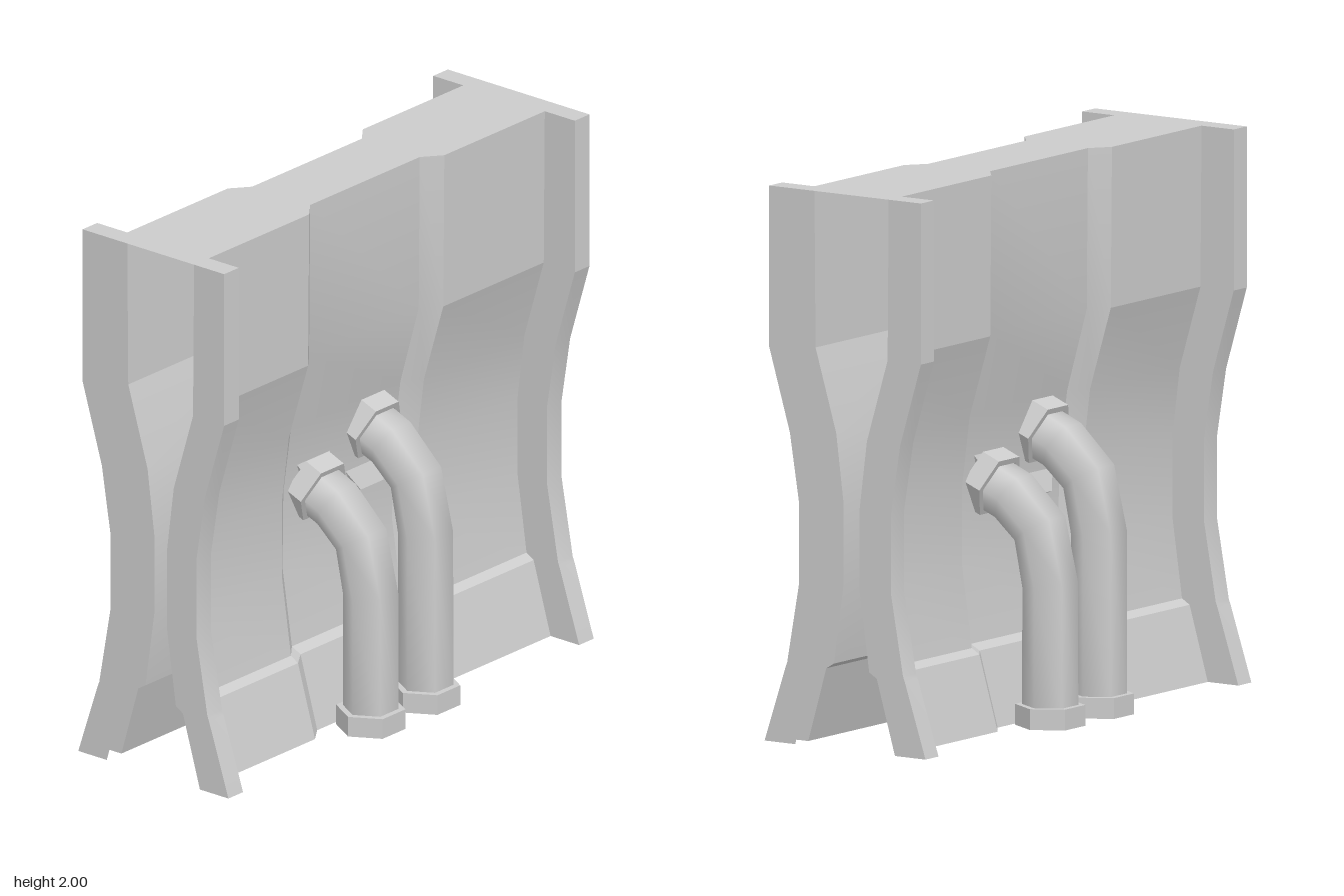
import * as THREE from 'three';
import { toCreasedNormals } from 'three/addons/utils/BufferGeometryUtils.js';

const smooth = new THREE.MeshStandardMaterial({ color: 0xcccccc, side: THREE.DoubleSide });
const flat = new THREE.MeshStandardMaterial({ color: 0xcccccc, side: THREE.DoubleSide, flatShading: true });

// wall profile, top to bottom: y, end flange z, panel z, recessed centre z
const PROFILE = [
  [2, 0.33, 0.19, 0.135],
  [1.42, 0.33, 0.185, 0.13],
  [1.12, 0.24, 0.095, 0.045],
  [0.87, 0.2, 0.063, 0.01],
  [0.58, 0.2, 0.063, 0.006],
  [0.29, 0.252, 0.105, 0.05],
  [0.27, 0.26, 0.138, 0.09],
  [0, 0.35, 0.217, 0.168],
];

// one horizontal section of the wall from -x to +x, as [x, z]
function section([, flange, panel, centre]) {
  const half = [[1, panel], [1, flange], [0.92, flange], [0.92, panel], [0.37, panel], [0.3, centre]];
  return [...half.map(([x, z]) => [-x, z]), ...half.reverse()];
}

function mesh(name, geometry, material) {
  const m = new THREE.Mesh(geometry, material);
  m.name = name;
  return m;
}

// joins equal rows of points with quads
function loft(rows, closed) {
  const n = rows[0].length;
  const index = [];
  for (let j = 0; j < rows.length - 1; j++) {
    for (let i = 0; i < (closed ? n : n - 1); i++) {
      const k = (i + 1) % n;
      const a = j * n + i, b = (j + 1) * n + i, c = (j + 1) * n + k, d = j * n + k;
      index.push(a, b, c, a, c, d);
    }
  }
  const g = new THREE.BufferGeometry();
  g.setAttribute('position', new THREE.Float32BufferAttribute(rows.flat(2), 3));
  g.setIndex(index);
  g.computeVertexNormals();
  return g;
}

function wallPanel() {
  const rows = PROFILE.map((p) => section(p).map(([x, z]) => [x, p[0], z]));
  return mesh('wallPanel', toCreasedNormals(loft(rows, false), 0.27), smooth);
}

// hexagonal collar, open at its lower end
function collar(name) {
  const pts = [[0, 0.035], [0.1, 0.035], [0.1, 0], [0.125, 0], [0.125, 0.075], [0, 0.075]];
  const g = new THREE.LatheGeometry(pts.map(([r, y]) => new THREE.Vector2(r, y)), 6, Math.PI / 2);
  return mesh(name, g, flat);
}

// six-sided pipe rising from the ground and bending into the wall
function pipe(x, drop) {
  const group = new THREE.Group();
  group.name = 'pipe';
  const path = [[0.035, 0.29], [0.65 - drop, 0.29], [0.85 - drop, 0.245], [0.955 - drop, 0.13], [1.005 - drop, 0.01]];
  const rings = path.map(([y, z], j) => {
    const p = path[Math.max(j - 1, 0)], q = path[Math.min(j + 1, path.length - 1)];
    // average of the unit directions on both sides of the point
    const dir = (a, b) => new THREE.Vector2(b[0] - a[0], b[1] - a[1]).normalize();
    const t = dir(p, [y, z]).add(dir([y, z], q)).normalize();
    return Array.from({ length: 6 }, (_, k) => {
      const a = (k * Math.PI) / 3;
      const s = 0.1 * Math.sin(a);
      return [0.1 * Math.cos(a), y - t.y * s, z + t.x * s];
    });
  });
  group.add(mesh('pipeTube', loft(rings, true), smooth));
  const foot = collar('footCollar');
  foot.position.z = 0.29;
  const top = collar('wallCollar');
  top.position.set(0, 0.985 - drop, 0.07);
  top.rotation.x = -1.18;
  group.add(foot, top);
  // let the bend faces wind outward
  const idx = group.children[0].geometry.index;
  for (let i = 0; i < idx.count; i += 3) {
    const b = idx.getX(i + 1);
    idx.setX(i + 1, idx.getX(i + 2));
    idx.setX(i + 2, b);
  }
  idx.needsUpdate = true;
  group.children[0].geometry.computeVertexNormals();
  group.position.x = x;
  return group;
}

// flat cap over both wall faces
function topCap() {
  const front = section(PROFILE[0]);
  const outline = [...front, ...front.map(([x, z]) => [-x, -z])];
  const shape = new THREE.Shape(outline.map(([x, z]) => new THREE.Vector2(x, z)));
  const g = new THREE.ShapeGeometry(shape).rotateX(-Math.PI / 2).translate(0, 2, 0);
  return mesh('topCap', g, flat);
}

export function createModel() {
  const model = new THREE.Group();
  model.name = 'wallSection';
  // both faces are the same, turned half a circle
  for (let i = 0; i < 2; i++) {
    const side = new THREE.Group();
    side.name = i ? 'backSide' : 'frontSide';
    side.add(wallPanel(), pipe(0.15, 0), pipe(-0.15, 0.145));
    side.rotation.y = i * Math.PI;
    model.add(side);
  }
  model.add(topCap());
  return model;
}
